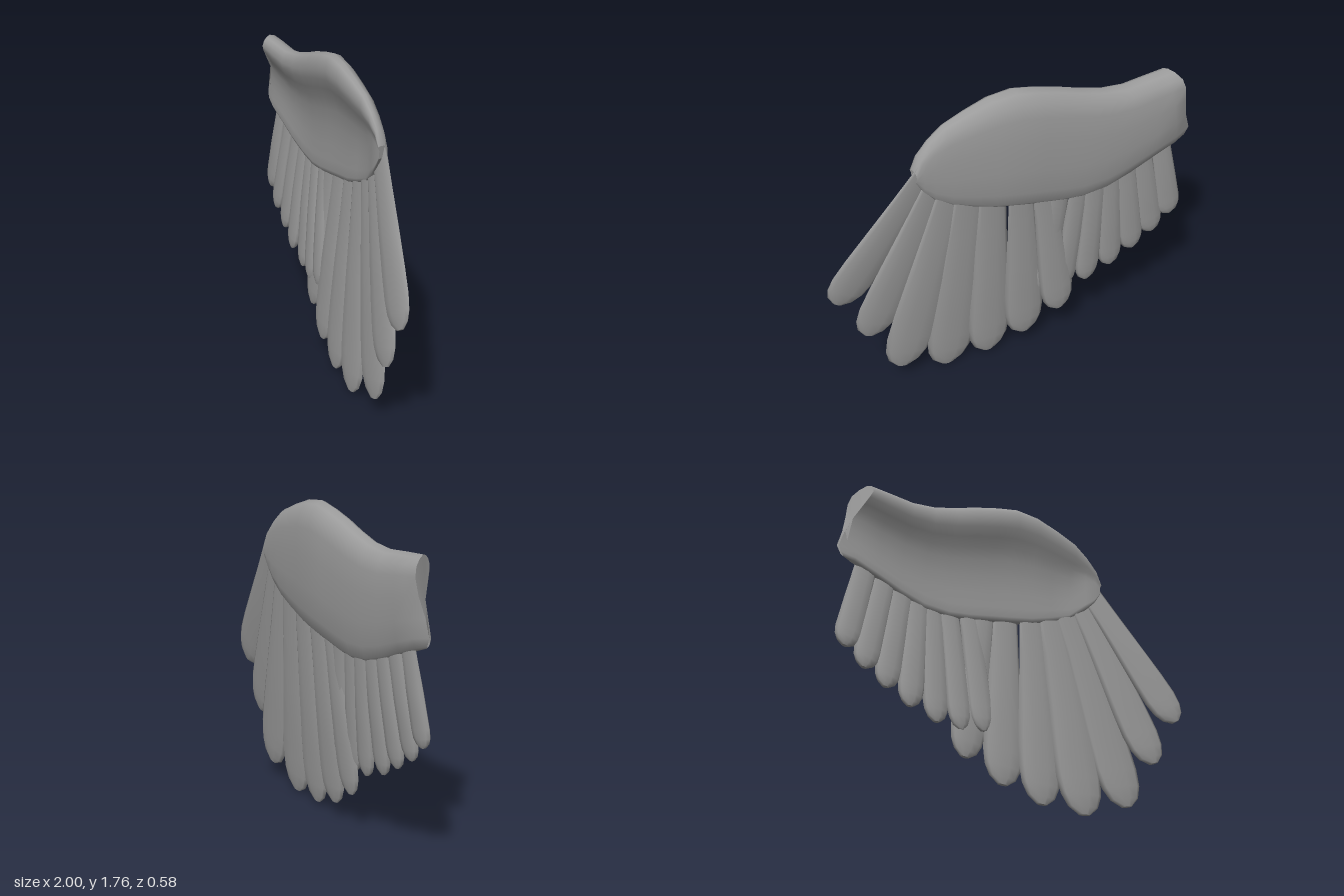
import * as THREE from 'three';

const { lerp, smoothstep } = THREE.MathUtils;
const material = new THREE.MeshStandardMaterial({ color: 0x9c9c9c });

// Closed skin over rings of points, with separate cap vertices so the ends stay crisp
function loft(rings, name) {
  const n = rings[0].length, pos = [], idx = [];
  rings.forEach(r => r.forEach(p => pos.push(p.x, p.y, p.z)));
  for (let i = 0; i < rings.length - 1; i++) {
    for (let j = 0; j < n; j++) {
      const a = i * n + j, c = i * n + (j + 1) % n;
      idx.push(a, c, a + n, a + n, c, c + n);
    }
  }
  [rings[0], rings[rings.length - 1]].forEach((ring, end) => {
    const start = pos.length / 3;
    const mid = ring.reduce((s, p) => s.add(p), new THREE.Vector3()).divideScalar(n);
    [mid, ...ring].forEach(p => pos.push(p.x, p.y, p.z));
    for (let j = 0; j < n; j++) {
      const a = start + 1 + j, b = start + 1 + (j + 1) % n;
      idx.push(start, end ? a : b, end ? b : a);
    }
  });
  const geometry = new THREE.BufferGeometry();
  geometry.setAttribute('position', new THREE.Float32BufferAttribute(pos, 3));
  geometry.setIndex(idx);
  geometry.computeVertexNormals();
  const mesh = new THREE.Mesh(geometry, material);
  mesh.name = name;
  return mesh;
}

// Piecewise linear lookup in [x, value] pairs
function sample(table, x) {
  let i = 0;
  while (i < table.length - 2 && x > table[i + 1][0]) i++;
  const [x0, y0] = table[i], [x1, y1] = table[i + 1];
  return y0 + (y1 - y0) * (x - x0) / (x1 - x0);
}

// Sweep of the wing in plan: depth of the back and front surfaces along x
const backZ = [[-0.9, -0.29], [-0.45, -0.21], [0, -0.11], [0.35, 0], [0.55, 0.065]];
const frontZ = [[-0.87, -0.13], [-0.5, -0.075], [-0.18, 0.01], [0.085, 0.07], [0.3, 0.1], [0.55, 0.125]];
const depthAt = (x, f) => lerp(sample(backZ, x), sample(frontZ, x), f);

// Wing arm: a thick roll along the top edge, thinning to a sheet below
function createArm() {
  // [down from top, back-to-front fraction]
  const profile = [
    [0, 0.66], [0.018, 0.83], [0.06, 0.95], [0.13, 1], [0.2, 0.94], [0.28, 0.8], [0.36, 0.65], [0.46, 0.53],
    [0.6, 0.46], [0.74, 0.46], [0.87, 0.49], [0.95, 0.51], [0.985, 0.46], [1, 0.37],
    [0.97, 0.24], [0.86, 0.1], [0.65, 0.02], [0.4, 0], [0.2, 0.05], [0.09, 0.16], [0.025, 0.41],
  ];
  // [top x, top y, bottom x, bottom y]
  const sections = [
    [-0.88, 1.64, -0.965, 1.21], [-0.83, 1.637, -0.91, 1.187], [-0.76, 1.632, -0.78, 1.135],
    [-0.62, 1.62, -0.64, 1.075], [-0.49, 1.635, -0.5, 1.028], [-0.36, 1.668, -0.36, 1.01],
    [-0.24, 1.705, -0.24, 1.02], [-0.12, 1.735, -0.12, 1.04], [0, 1.757, 0, 1.06],
    [0.13, 1.74, 0.13, 1.085], [0.26, 1.695, 0.25, 1.125], [0.38, 1.645, 0.36, 1.17],
    [0.46, 1.58, 0.45, 1.23], [0.52, 1.51, 0.505, 1.29], [0.55, 1.43, 0.545, 1.36],
  ];
  const rings = sections.map(([tx, ty, bx, by], i) => profile.map(([t, f], j) => {
    let x = lerp(tx, bx, t);
    // The hollow in front fills out toward the wrist
    let depth = j > 1 && j < 12 ? Math.max(f, 0.85 * smoothstep(x, 0.22, 0.52)) : f;
    // The shoulder end slants, bows outward and pinches to an edge
    if (i === 0) {
      x += 0.06 * (f - 0.66) * (1 - t) - 0.04 * Math.sin(Math.PI * t ** 4);
      depth = lerp(f, 0.38, 0.75 * smoothstep(t, 0.15, 0.7));
    }
    return new THREE.Vector3(x, lerp(ty, by, t), depthAt(x, depth));
  }));
  return loft(rings, 'wingArm');
}

// Feather: flattened tube that widens toward a blunt rounded tip
function createFeather([rx, ry, tx, ty, tz, width], name, rootWidth) {
  const outline = [[0, rootWidth], [0.25, lerp(rootWidth, 1, 0.3)], [0.5, lerp(rootWidth, 1, 0.65)],
    [0.7, 0.97], [0.83, 1], [0.91, 0.9], [0.965, 0.66], [1, 0.24]];
  const root = new THREE.Vector3(rx, ry, depthAt(rx, 0.33));
  const tip = new THREE.Vector3(tx, ty, tz);
  const axis = tip.clone().sub(root).normalize();
  const across = new THREE.Vector3(1, 0, 0.2);
  across.addScaledVector(axis, -across.dot(axis)).normalize();
  const normal = axis.clone().cross(across);
  const sides = 10;
  const rings = outline.map(([t, w]) => {
    const centre = root.clone().lerp(tip, t);
    const thick = lerp(0.008, 0.022, Math.min(1, t * 2.2)) * Math.min(1, 0.3 + w * 0.8);
    return Array.from({ length: sides }, (_, j) => {
      const a = j / sides * Math.PI * 2;
      return centre.clone()
        .addScaledVector(across, Math.cos(a) * w * width / 2)
        .addScaledVector(normal, Math.sin(a) * thick);
    });
  });
  return loft(rings, name);
}

export function createModel() {
  const wing = new THREE.Group();
  wing.name = 'wing';
  wing.add(createArm());

  // [root x, root y, tip x, tip y, tip z, width]
  const longFeathers = [
    [0.475, 1.42, 0.945, 0.64, 0.28, 0.25],
    [0.42, 1.35, 0.79, 0.365, 0.245, 0.255],
    [0.35, 1.28, 0.625, 0.095, 0.19, 0.28],
    [0.26, 1.23, 0.36, 0.005, 0.14, 0.28],
    [0.14, 1.2, 0.12, 0.025, 0.075, 0.25],
    [-0.01, 1.18, -0.09, 0.1, 0.01, 0.235],
    [-0.13, 1.18, -0.285, 0.222, -0.06, 0.2],
  ];
  const shortFeathers = [
    [-0.82, 1.24, -0.94, 0.7, -0.22, 0.15],
    [-0.71, 1.2, -0.84, 0.6, -0.19, 0.15],
    [-0.61, 1.17, -0.72, 0.52, -0.165, 0.15],
    [-0.52, 1.14, -0.59, 0.44, -0.13, 0.15],
    [-0.44, 1.12, -0.44, 0.385, -0.1, 0.15],
    [-0.35, 1.12, -0.31, 0.365, -0.06, 0.14],
    [-0.24, 1.14, -0.185, 0.38, -0.03, 0.145],
  ];
  longFeathers.forEach((f, i) => wing.add(createFeather(f, `longFeather${i + 1}`, 0.58)));
  shortFeathers.forEach((f, i) => wing.add(createFeather(f, `shortFeather${i + 1}`, 0.8)));
  return wing;
}
